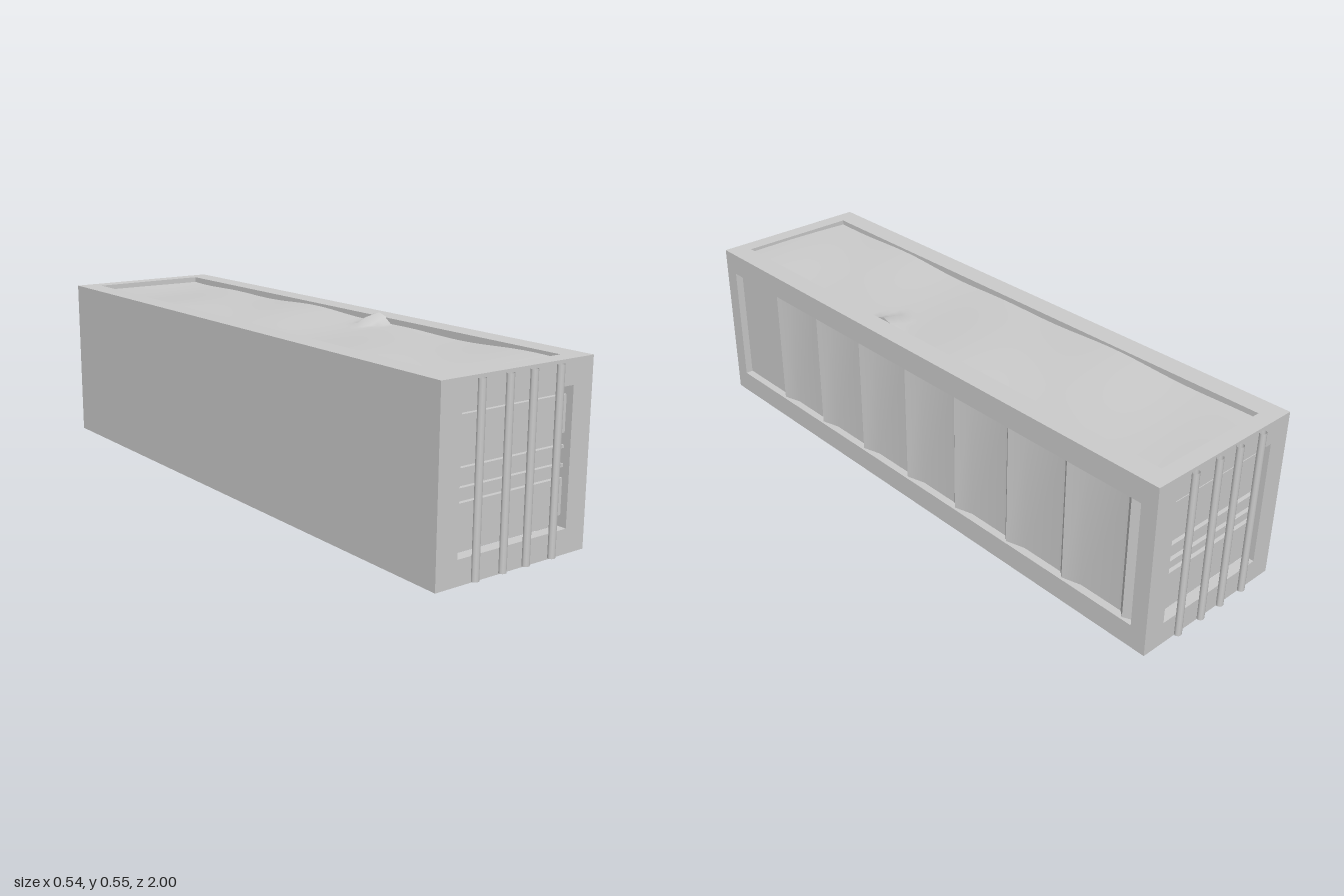
import * as THREE from 'three';
import { toCreasedNormals } from 'three/addons/utils/BufferGeometryUtils.js';

const W = 0.54, H = 0.541, L = 1.965; // container body
const mat = new THREE.MeshStandardMaterial({ color: 0xcccccc, side: THREE.DoubleSide });

function add(parent, name, geo) {
  const mesh = new THREE.Mesh(geo, mat);
  mesh.name = name;
  parent.add(mesh);
  return mesh;
}

// Flat plate with a rectangular opening, facing +z
function plate(w, h, ow, oh) {
  const rect = (T, a, b) => new T([[-a, -b], [a, -b], [a, b], [-a, b]].map(p => new THREE.Vector2(p[0] / 2, p[1] / 2)));
  const shape = rect(THREE.Shape, w, h);
  shape.holes.push(rect(THREE.Path, ow, oh));
  return new THREE.ShapeGeometry(shape);
}

// Sheet on a grid of columns us and rows vs, with its height given by a rule
function sheet(us, vs, height) {
  const geo = new THREE.PlaneGeometry(1, 1, us.length - 1, vs.length - 1);
  const pos = geo.attributes.position;
  const rows = [...vs].reverse();
  for (let i = 0; i < pos.count; i++) {
    const c = i % us.length, r = Math.floor(i / us.length);
    pos.setXYZ(i, us[c], rows[r], height(us[c], rows[r], c, vs.length - 1 - r));
  }
  geo.computeVertexNormals();
  return geo;
}

// Frame, the lip round its opening, and the recessed panel
function framedWall(name, w, h, ow, oh, depth, panel) {
  const wall = new THREE.Group();
  wall.name = name;
  add(wall, 'frame', plate(w, h, ow, oh));
  for (const s of [-1, 1]) {
    const side = add(wall, 'sideLip', new THREE.PlaneGeometry(depth, oh));
    side.position.set(s * ow / 2, 0, -depth / 2);
    side.rotation.y = -s * Math.PI / 2;
    const edge = add(wall, 'edgeLip', new THREE.PlaneGeometry(ow, depth));
    edge.position.set(0, s * oh / 2, -depth / 2);
    edge.rotation.x = s * Math.PI / 2;
  }
  add(wall, 'panel', panel);
  return wall;
}

const range = (a, b, n) => Array.from({ length: n + 1 }, (_, i) => a + (b - a) * i / n);

// Door panel: raised slats between recessed bands
function doorPanel() {
  const slats = [[0.105, 0.21], [0.24, 0.25], [0.293, 0.302], [0.335, 0.44]];
  const deep = -0.034, raised = -0.022;
  const vs = [0.073], zs = [deep];
  for (const [a, b] of slats) {
    vs.push(a, a, b, b);
    zs.push(deep, raised, raised, deep);
  }
  vs.push(0.469);
  zs.push(deep);
  return toCreasedNormals(sheet([-0.198, 0.198], vs.map(v => v - H / 2), (u, v, c, r) => zs[r]), 0.5);
}

// Side panel: shallow slanted ribs at an even spacing
function ribbedPanel() {
  const deep = -0.025, raised = -0.008;
  const us = [-0.93], zs = [deep];
  for (let i = 0; i < 8; i++) {
    const u = -0.71 + i * 0.226;
    us.push(u, u + 0.02, Math.min(u + 0.08, 0.93));
    zs.push(deep, raised, deep);
  }
  return toCreasedNormals(sheet(us, [-0.198, 0.198], (u, v, c) => zs[c]), 0.3);
}

// Roof panel: gently dented, with one bent-up corner on the left edge
function dentedPanel() {
  return sheet(range(-0.2, 0.203, 14), range(-0.93, 0.93, 62), (u, v) => {
    const dent = -0.016 + 0.004 * Math.sin(6 * v + 4 * u) + 0.003 * Math.sin(13 * v - 7 * u + 1);
    const bent = 0.011 - 0.18 * (0.203 - u) - 0.28 * Math.abs(v + 0.18);
    return Math.max(dent, bent < 0 ? bent * 3 : bent);
  });
}

export function createModel() {
  const model = new THREE.Group();
  model.name = 'shippingContainer';

  // Door ends with four locking bars each
  for (const s of [1, -1]) {
    const end = framedWall(s > 0 ? 'frontEnd' : 'backEnd', W, H, 0.396, 0.396, 0.034, doorPanel());
    end.position.set(0, H / 2, s * L / 2);
    if (s < 0) end.rotation.y = Math.PI;
    model.add(end);
    for (const x of [-0.141, -0.044, 0.041, 0.138]) {
      const bar = add(model, 'lockingBar', new THREE.CylinderGeometry(0.012, 0.012, 0.528, 10, 1, true));
      bar.position.set(x, 0.269, s * 0.99);
      bar.scale.z = 0.83;
    }
  }

  // Ribbed left side
  const left = framedWall('ribbedSide', L, H, 1.86, 0.396, 0.025, ribbedPanel());
  left.position.set(W / 2, H / 2, 0);
  left.rotation.y = Math.PI / 2;
  model.add(left);

  // Plain right side
  const right = add(model, 'plainSide', new THREE.PlaneGeometry(L, H));
  right.position.set(-W / 2, H / 2, 0);
  right.rotation.y = -Math.PI / 2;

  // Roof; the underside stays open
  const roof = framedWall('roof', W, L, 0.4, 1.86, 0.024, dentedPanel());
  roof.position.y = H;
  roof.rotation.x = -Math.PI / 2;
  model.add(roof);

  return model;
}
